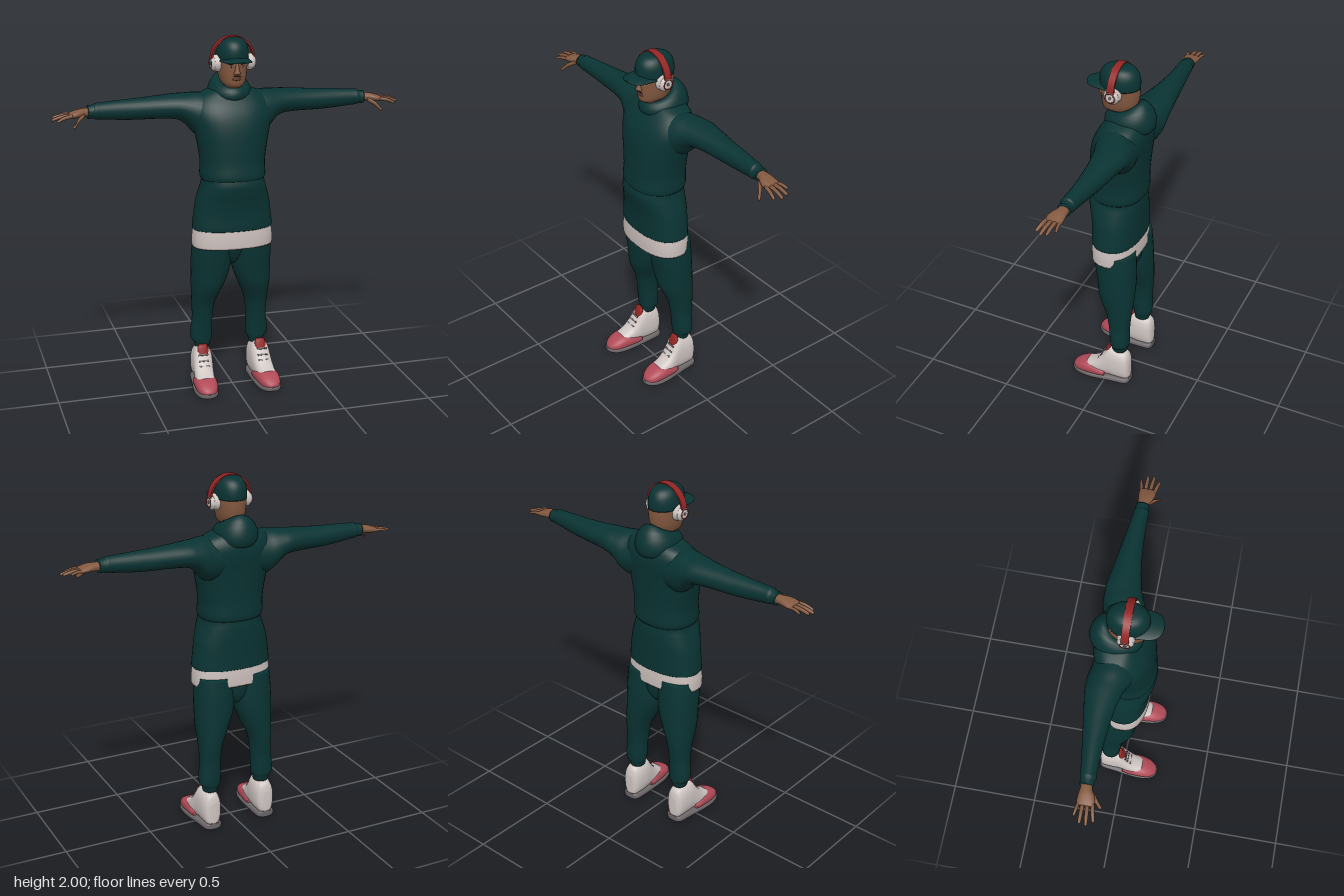
import * as THREE from 'three';

const mat = (name, color) => Object.assign(new THREE.MeshStandardMaterial({ color }), { name });

// Closed grid surface from rings of points; winding is fixed by its signed volume.
function skin(rings, cap = true, closed = false) {
  const n = rings[0].length, pos = rings.flat(2), idx = [];
  const m = rings.length;
  for (let i = 0; i < (closed ? m : m - 1); i++)
    for (let j = 0; j < n; j++) {
      const k = (j + 1) % n, r = (i + 1) % m;
      idx.push(i * n + j, r * n + j, r * n + k, i * n + j, r * n + k, i * n + k);
    }
  if (cap) {
    [0, m - 1].forEach((r, e) => {
      const c = pos.length / 3;
      pos.push(...[0, 1, 2].map(a => rings[r].reduce((s, p) => s + p[a], 0) / n));
      for (let j = 0; j < n; j++) {
        const a = r * n + j, b = r * n + (j + 1) % n;
        idx.push(...(e ? [c, b, a] : [c, a, b]));
      }
    });
  }
  const P = i => new THREE.Vector3().fromArray(pos, i * 3);
  let vol = 0;
  for (let i = 0; i < idx.length; i += 3) vol += P(idx[i]).dot(P(idx[i + 1]).cross(P(idx[i + 2])));
  if (vol < 0) idx.reverse();
  const g = new THREE.BufferGeometry();
  g.setAttribute('position', new THREE.Float32BufferAttribute(pos, 3));
  g.setIndex(idx);
  g.computeVertexNormals();
  return g;
}

// Smooth loft along an axis. Rows: [position, centreA, centreB, radiusA, radiusB]
function loft(axis, rows, side = 1, power = 1, n = 28) {
  const rings = [], sub = 4;
  const at = i => rows[Math.min(Math.max(i, 0), rows.length - 1)];
  for (let s = 0; s <= (rows.length - 1) * sub; s++) {
    const i = Math.min(Math.floor(s / sub), rows.length - 2), t = s / sub - i;
    const [p, a, b, ra, rb] = at(i).map((v, c) => {
      const v0 = at(i - 1)[c], v2 = at(i + 1)[c], v3 = at(i + 2)[c];
      return v + 0.5 * t * (v2 - v0 + t * (2 * v0 - 5 * v + 4 * v2 - v3 + t * (3 * (v - v2) + v3 - v0)));
    });
    const bend = f => Math.sign(f) * Math.abs(f) ** power;
    rings.push(Array.from({ length: n }, (_, j) => {
      const w = j / n * Math.PI * 2, u = a + ra * bend(Math.cos(w)), v = b + rb * bend(Math.sin(w));
      const [x, y, z] = axis === 'y' ? [u, p, v] : axis === 'x' ? [p, u, v] : [u, v, p];
      return [x * side, y, z];
    }));
  }
  return skin(rings);
}

export function createModel() {
  const model = new THREE.Group();
  const green = mat('dark green cloth', 0x0a3333), hemWhite = mat('shirt white', 0xcbc0bc);
  const flesh = mat('skin', 0x83583f), lip = mat('lips', 0x5c3529), dark = mat('dark hair', 0x241a17);
  const red = mat('headphone red', 0x912524), white = mat('shoe white', 0xcfc6c3);
  const pink = mat('toe pink', 0xb04a57), grey = mat('sole grey', 0x6b6567);
  const add = (name, geo, m, parent = model) => {
    const mesh = new THREE.Mesh(geo, m);
    mesh.name = name;
    parent.add(mesh);
    return mesh;
  };

  // Hoodie, shirt hem and trouser seat
  add('hoodieUpper', loft('y', [
    [1.225, 0, 0, .172, .145], [1.25, 0, .001, .18, .154], [1.32, 0, -.002, .178, .15], [1.4, 0, -.005, .188, .15],
    [1.5, 0, -.012, .208, .15], [1.58, 0, -.025, .225, .145], [1.64, 0, -.04, .215, .13],
    [1.685, 0, -.05, .175, .105], [1.715, 0, -.05, .1, .085]], 1, .88, 40), green);
  add('hoodieSkirt', loft('y', [
    [.945, 0, -.008, .222, .13], [.96, 0, -.006, .224, .132], [1.03, 0, -.006, .216, .133],
    [1.1, 0, -.003, .205, .138], [1.17, 0, .005, .185, .147], [1.21, 0, .008, .173, .148], [1.26, 0, .004, .168, .14]], 1, .86, 40), green);
  add('shirtHem', loft('y', [
    [.845, 0, -.006, .226, .131], [.9, 0, -.006, .226, .131], [.96, 0, -.006, .218, .126]], 1, .84, 40), hemWhite);
  add('trouserSeat', loft('y', [
    [.73, 0, -.04, .03, .05], [.78, 0, -.035, .1, .085], [.88, 0, -.02, .2, .11]]), green);

  // Hood: a cowl that rises and thickens towards the back
  const hood = [];
  for (let i = 0; i < 48; i++) {
    const a = i / 48 * Math.PI * 2, back = (1 - Math.cos(a)) / 2;
    const h = .036 + .048 * back ** 1.5, t = .026 + .022 * back;
    hood.push(Array.from({ length: 16 }, (_, j) => {
      const w = j / 16 * Math.PI * 2;
      const out = t * Math.cos(w) - .25 * h * Math.sin(w);
      return [Math.sin(a) * (.078 + out), 1.695 + .027 * back + h * Math.sin(w),
        -.047 + Math.cos(a) * (.1 + out)];
    }));
  }
  add('hood', skin(hood, false, true), green);

  // Head and face
  add('head', loft('y', [
    [1.64, 0, -.04, .058, .06], [1.71, 0, -.032, .058, .062], [1.735, 0, .005, .045, .075], [1.75, 0, .008, .06, .085],
    [1.78, 0, 0, .071, .097], [1.82, 0, -.004, .077, .102], [1.87, 0, -.005, .08, .103], [1.92, 0, -.004, .079, .1],
    [1.96, 0, -.004, .05, .07]], 1, .93, 36), flesh);
  add('nose', loft('y', [
    [1.803, 0, .09, .012, .01], [1.811, 0, .095, .02, .021], [1.83, 0, .094, .013, .018], [1.865, 0, .09, .008, .01]], 1, 1, 16), flesh);
  const blob = new THREE.SphereGeometry(1, 16, 10);
  const dab = (name, m, x, y, z, sx, sy, sz, turn = 0) => {
    const d = add(name, blob, m);
    d.position.set(x, y, z);
    d.scale.set(sx, sy, sz);
    d.rotation.y = turn;
  };
  dab('mouth', lip, 0, 1.781, .094, .026, .008, .008);
  dab('moustache', dark, 0, 1.796, .096, .026, .003, .004);
  dab('goatee', dark, 0, 1.762, .091, .012, .005, .004);

  // Cap with curved peak
  add('cap', loft('y', [
    [1.875, 0, -.002, .085, .108], [1.91, 0, -.001, .086, .11], [1.945, 0, 0, .08, .104], [1.972, 0, 0, .066, .086],
    [1.988, 0, 0, .044, .058], [1.995, 0, 0, .012, .016]], 1, 1, 36), green);
  const peak = loft('z', [
    [.04, 0, 1.889, .084, .006], [.1, 0, 1.888, .08, .006], [.14, 0, 1.885, .07, .005], [.165, 0, 1.882, .05, .005],
    [.178, 0, 1.88, .02, .004]]);
  const pp = peak.attributes.position;
  for (let i = 0; i < pp.count; i++) pp.setY(i, pp.getY(i) - 2.2 * pp.getX(i) ** 2);
  peak.computeVertexNormals();
  add('capPeak', peak, green);

  // Headphone band
  const arch = new THREE.Shape();
  arch.absellipse(0, 1.875, .12, .125, 0, Math.PI, false);
  arch.absellipse(0, 1.875, .111, .115, Math.PI, 0, true);
  add('headband', new THREE.ExtrudeGeometry(arch, { depth: .04, bevelEnabled: false, curveSegments: 32 }), red)
    .position.z = -.018;

  for (const s of [1, -1]) {
    const tag = s > 0 ? 'left' : 'right';

    // Eyes and brows
    dab(tag + 'Eye', white, s * .032, 1.848, .0905, .011, .0045, .005, s * .35);
    dab(tag + 'Pupil', dark, s * .032, 1.848, .094, .0045, .0045, .003, s * .35);
    dab(tag + 'Brow', dark, s * .033, 1.863, .092, .018, .004, .005, s * .35);

    // Ear cups
    const cup = new THREE.Group();
    cup.name = tag + 'EarCup';
    cup.position.set(s * .098, 1.857, .003);
    cup.rotation.z = -s * Math.PI / 2;
    model.add(cup);
    add('cushion', new THREE.CylinderGeometry(.043, .046, .03, 28), white, cup).position.y = -.008;
    add('shell', new THREE.CylinderGeometry(.03, .042, .016, 28), white, cup).position.y = .015;
    const ring = add('ring', new THREE.TorusGeometry(.026, .003, 8, 28), red, cup);
    ring.rotation.x = Math.PI / 2;
    ring.position.y = .023;
    add('button', new THREE.CylinderGeometry(.009, .009, .004, 16), grey, cup).position.y = .024;

    // Sleeve
    add(tag + 'Sleeve', loft('x', [
      [.08, 1.575, -.045, .115, .11], [.16, 1.572, -.05, .122, .115], [.205, 1.585, -.06, .11, .112], [.25, 1.608, -.07, .083, .102],
      [.3, 1.62, -.078, .069, .092], [.4, 1.62, -.08, .062, .074], [.5, 1.617, -.078, .058, .061],
      [.6, 1.617, -.074, .053, .05], [.7, 1.619, -.068, .045, .042], [.735, 1.619, -.066, .043, .041],
      [.745, 1.618, -.066, .037, .036], [.775, 1.617, -.066, .036, .036]], s), green);

    // Hand with four fingers and a thumb
    add(tag + 'Palm', loft('x', [
      [.755, 1.616, -.066, .024, .029], [.79, 1.617, -.064, .022, .03], [.82, 1.615, -.058, .021, .04],
      [.85, 1.61, -.055, .018, .045], [.875, 1.607, -.056, .012, .042]], s, .9, 20), flesh);
    const finger = (name, a, b, r) => add(name, loft('x', [
      [a[0], a[1], a[2], r, r], [(a[0] + b[0]) / 2, (a[1] + b[1]) / 2 + .004, (a[2] + b[2]) / 2, r, r],
      [b[0] - .008, b[1], b[2], r * .8, r * .8], [b[0], b[1], b[2], r * .25, r * .25]], s, 1, 12), flesh);
    [[-.02, .945, 1.588, -.004], [-.044, .968, 1.592, -.036], [-.068, .963, 1.598, -.068], [-.089, .932, 1.603, -.1]]
      .forEach(([z, x, y, tz], i) => finger(tag + 'Finger' + (i + 1), [.86, 1.608, z], [x, y, tz], i < 3 ? .01 : .008));
    finger(tag + 'Thumb', [.795, 1.605, -.04], [.865, 1.555, .014], .013);

    // Trouser leg
    add(tag + 'Leg', loft('y', [
      [.22, .16, -.072, .04, .042], [.25, .16, -.074, .047, .048], [.27, .163, -.076, .06, .053], [.32, .163, -.075, .062, .056],
      [.4, .158, -.07, .058, .061], [.5, .153, -.064, .066, .076], [.6, .135, -.045, .09, .1],
      [.7, .118, -.037, .109, .108], [.8, .113, -.028, .112, .114], [.9, .108, -.02, .11, .115]], s, .92), green);

    // Shoe: white upper, pink toe, grey sole
    const shoe = new THREE.Group();
    shoe.name = tag + 'Shoe';
    model.add(shoe);
    add('upper', loft('z', [
      [-.142, .167, .1, .022, .06], [-.13, .167, .112, .045, .092], [-.1, .167, .121, .055, .101], [-.05, .168, .128, .058, .108],
      [-.015, .17, .128, .057, .106], [.02, .174, .1, .056, .078], [.06, .178, .077, .055, .052],
      [.12, .182, .062, .05, .034]], s, .82), white, shoe);
    add('toe', loft('z', [
      [.0, .174, .045, .058, .026], [.03, .176, .05, .064, .034], [.07, .179, .055, .065, .043], [.12, .182, .054, .063, .043],
      [.165, .184, .046, .053, .034], [.195, .185, .038, .033, .022], [.206, .185, .034, .012, .01]], s, .85), pink, shoe);
    add('sole', loft('z', [
      [-.144, .167, .022, .03, .018], [-.125, .167, .02, .052, .02], [-.05, .17, .02, .06, .02], [.05, .178, .019, .067, .019],
      [.12, .182, .019, .066, .019], [.17, .184, .021, .055, .018], [.2, .185, .024, .034, .015], [.212, .185, .026, .012, .01]], s, .6), grey, shoe);
    add('tongue', loft('y', [
      [.18, .17, -.005, .032, .02], [.225, .17, -.014, .032, .014], [.247, .17, -.02, .024, .01]], s, .85, 20), red, shoe);
    // Laces and strap follow the slope of the instep
    [[.198, .022, -.004], [.165, .034, .006], [.14, .05, .014]].forEach(([y, z], i) => {
      const lace = add('lace' + (i + 1), new THREE.BoxGeometry(.058, .009, .006), grey, shoe);
      lace.position.set(s * .174, y, z - .006);
      lace.rotation.x = -.75;
    });
    for (const [z, w, d] of [[.09, .07, .09], [-.08, .06, .06]])
      add('treadPatch', new THREE.BoxGeometry(w, .004, d), pink, shoe).position.set(s * (.176 + z * .05), .002, z);
  }
  return model;
}
